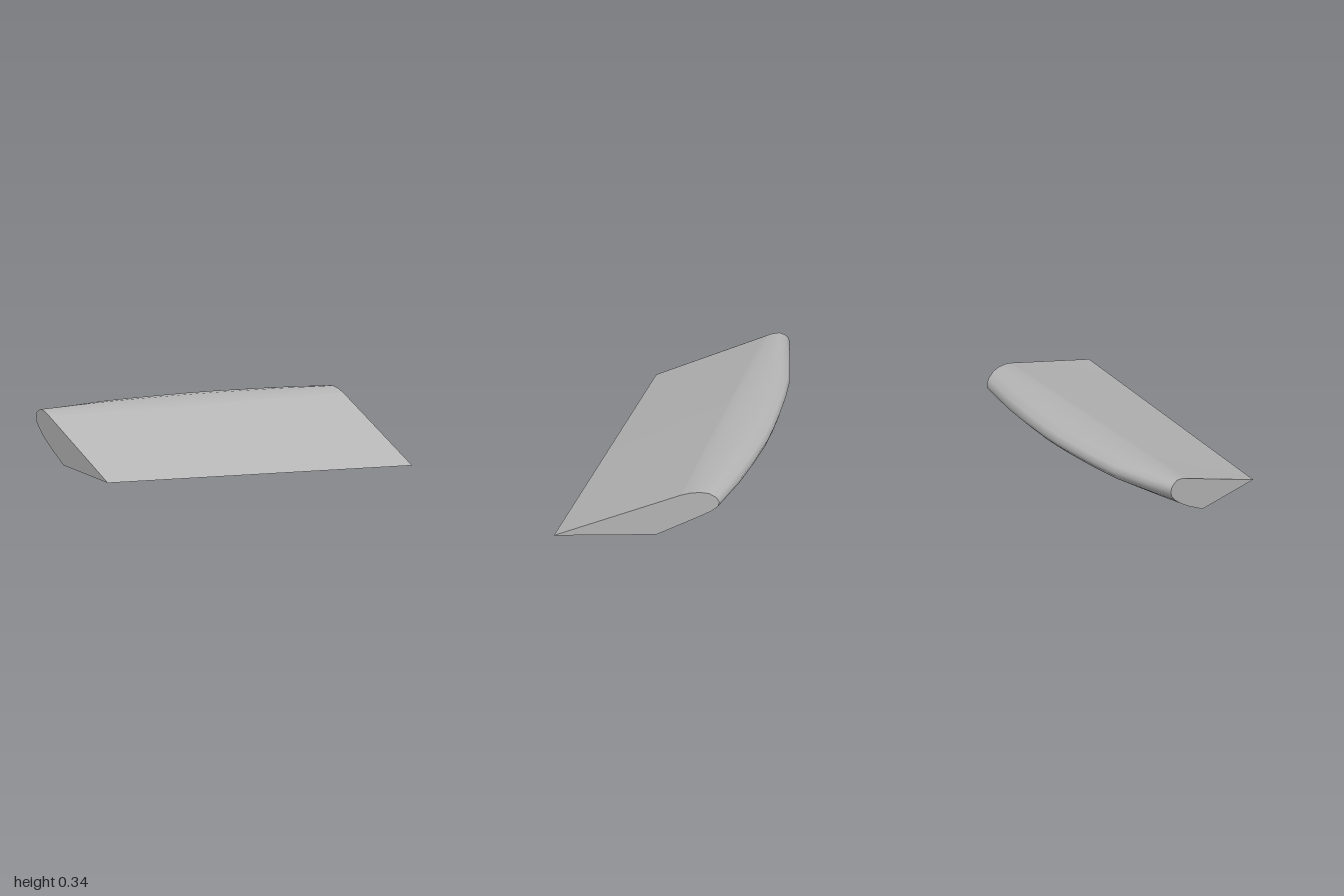
import * as THREE from 'three';

// Cross-section, front tip over the top to the rear foot:
// [z, y at the +x end, z, y at the -x end, share of the rear bulge]
const SECTION = [
  [0.82, 0, 0.09, 0, 0],
  [-0.05, 0.32, -0.64, 0.3, 0],
  [-0.11, 0.335, -0.69, 0.322, 0.05],
  [-0.18, 0.34, -0.75, 0.333, 0.5],
  [-0.24, 0.33, -0.785, 0.318, 0.78],
  [-0.29, 0.297, -0.81, 0.297, 0.96],
  [-0.31, 0.26, -0.82, 0.265, 1],
  [-0.3, 0.225, -0.81, 0.232, 1],
  [-0.26, 0.19, -0.775, 0.19, 1],
  [-0.19, 0.152, -0.72, 0.145, 0.95],
  [-0.06, 0.088, -0.62, 0.08, 0.85],
  [0.12, 0, -0.47, 0, 0.73],
];

// Stations along x with the backward bulge at each
const STATIONS = [
  [-1, 0], [-0.8, 0.052], [-0.5, 0.122], [-0.3, 0.142], [-0.1, 0.15],
  [0.08, 0.152], [0.25, 0.144], [0.48, 0.115], [0.7, 0.078], [1, 0],
];

function pointAt([x, bulge], [zA, yA, zB, yB, share]) {
  const t = (x + 1) / 2;
  return [x, THREE.MathUtils.lerp(yB, yA, t), THREE.MathUtils.lerp(zB, zA, t) - bulge * share];
}

function makeGeometry(points, index) {
  const geometry = new THREE.BufferGeometry();
  geometry.setAttribute('position', new THREE.Float32BufferAttribute(points.flat(), 3));
  geometry.setIndex(index);
  geometry.computeVertexNormals();
  return geometry;
}

// Surface through some of the section points, lofted along x
function loft(rows) {
  const n = rows.length;
  const points = STATIONS.flatMap((s) => rows.map((row) => pointAt(s, row)));
  const index = [];
  for (let i = 0; i < STATIONS.length - 1; i++) {
    for (let j = 0; j < n - 1; j++) {
      const a = i * n + j;
      const b = a + n;
      index.push(a, b, b + 1, a, b + 1, a + 1);
    }
  }
  return makeGeometry(points, index);
}

// Flat end face, fanned from the front tip
function endCap(station, facesPositiveX) {
  const index = [];
  for (let j = 1; j < SECTION.length - 1; j++) {
    index.push(0, ...(facesPositiveX ? [j + 1, j] : [j, j + 1]));
  }
  return makeGeometry(SECTION.map((row) => pointAt(station, row)), index);
}

export function createModel() {
  const model = new THREE.Group();
  model.name = 'wedgeBlock';
  const grey = new THREE.MeshStandardMaterial({ color: 0xb4b4b4 });
  grey.name = 'grey';

  const add = (name, geometry) => {
    const mesh = new THREE.Mesh(geometry, grey);
    mesh.name = name;
    model.add(mesh);
  };

  const last = SECTION.length - 1;
  add('frontSlope', loft(SECTION.slice(0, 2)));
  add('roundedBack', loft(SECTION.slice(1)));
  add('base', loft([SECTION[last], SECTION[0]]));
  add('leftEnd', endCap(STATIONS[STATIONS.length - 1], true));
  add('rightEnd', endCap(STATIONS[0], false));
  return model;
}
